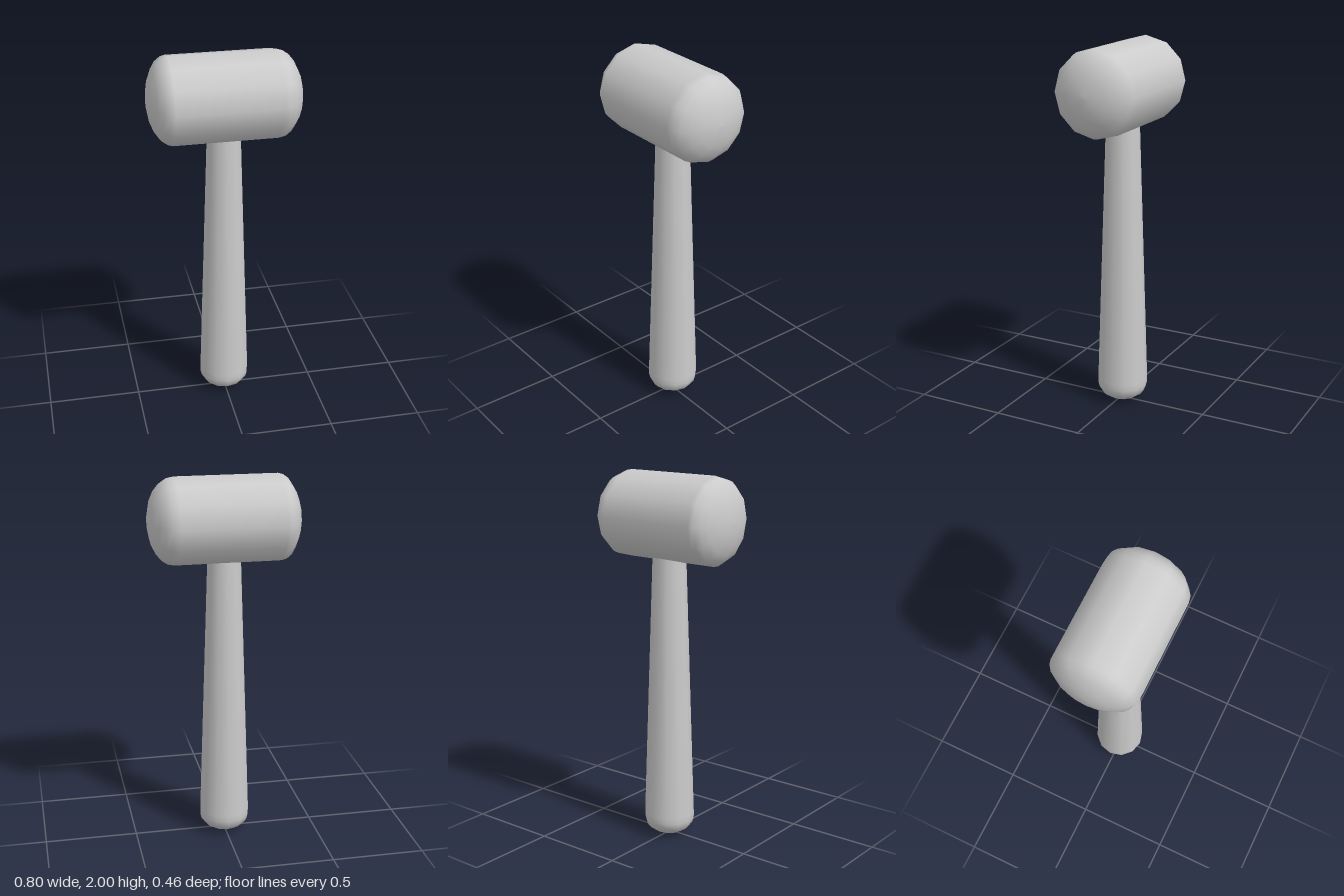
import * as THREE from 'three';

const material = new THREE.MeshStandardMaterial({ color: 0xcccccc });

// Twelve-sided smooth solid of revolution from [radius, height] pairs
function turned(name, profile) {
  const points = profile.map(([r, h]) => new THREE.Vector2(r, h));
  const mesh = new THREE.Mesh(new THREE.LatheGeometry(points, 12), material);
  mesh.name = name;
  return mesh;
}

export function createModel() {
  const group = new THREE.Group();
  group.name = 'mallet';

  // Barrel head with domed ends, lying along x
  const head = turned('head', [
    [0, -0.4], [0.05, -0.398], [0.11, -0.387], [0.166, -0.364], [0.203, -0.34], [0.225, -0.31], [0.232, -0.284],
    [0.232, 0.259], [0.225, 0.297], [0.203, 0.329], [0.166, 0.359], [0.115, 0.383], [0.05, 0.397], [0, 0.4],
  ]);
  head.rotation.z = -Math.PI / 2;
  head.position.y = 1.768;
  group.add(head);

  // Tapered handle with a rounded butt, running up into the head
  const handle = turned('handle', [
    [0, 0.002], [0.04, 0.007], [0.08, 0.022], [0.112, 0.043], [0.13, 0.068], [0.137, 0.095], [0.137, 0.13],
    [0.09, 1.56], [0.087, 1.65], [0, 1.65],
  ]);
  handle.position.z = -0.01;
  group.add(handle);

  return group;
}
